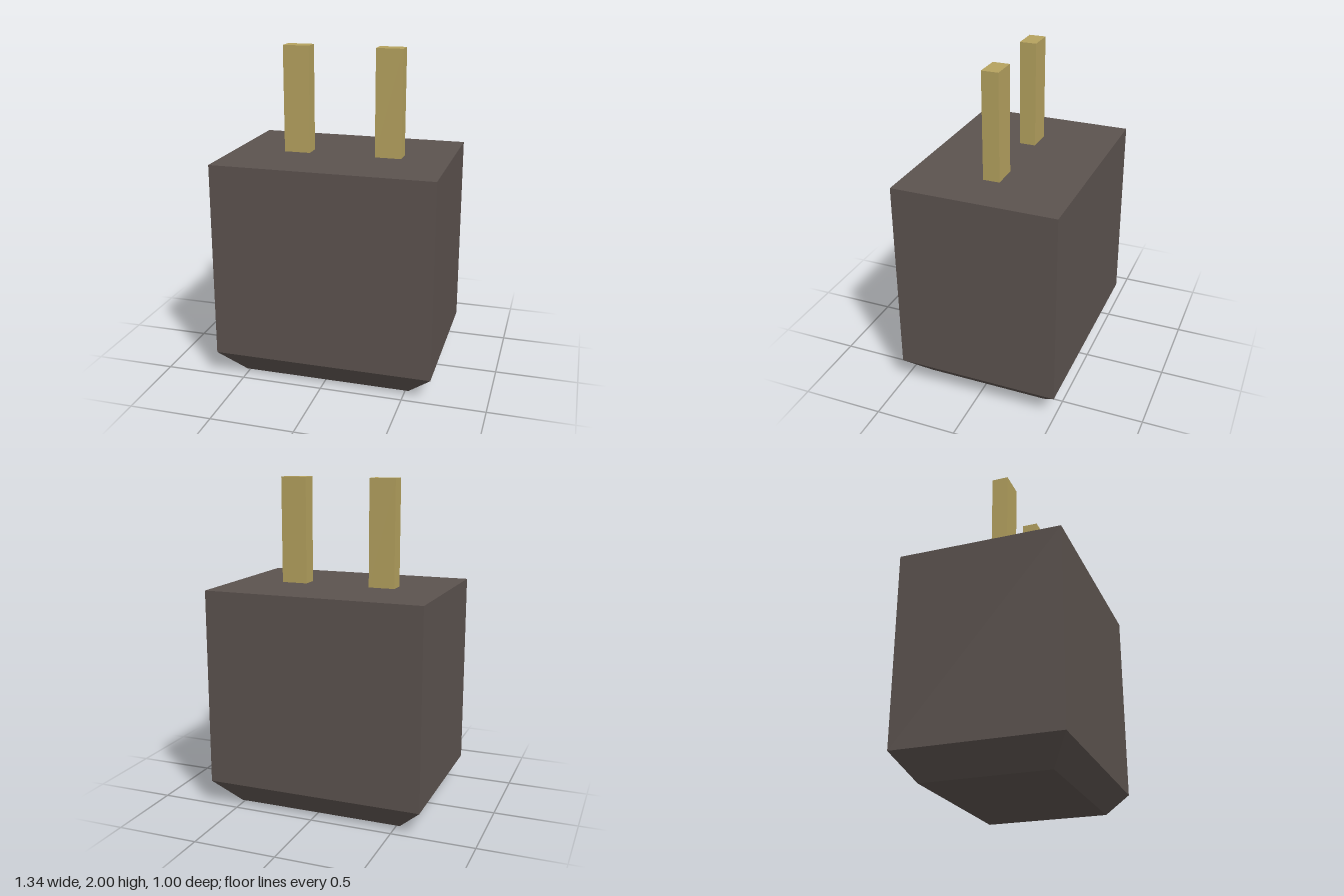
import * as THREE from 'three';

export function createModel() {
  const group = new THREE.Group();
  const housing = new THREE.MeshStandardMaterial({ color: 0x5c534f });
  housing.name = 'darkHousing';
  const brass = new THREE.MeshStandardMaterial({ color: 0xb5a25f });
  brass.name = 'brass';

  // Housing: a box with a middle ring lowered to form the tapered base
  const box = new THREE.BoxGeometry(1.34, 2, 1, 1, 2, 1);
  const pos = box.attributes.position;
  for (let i = 0; i < pos.count; i++) {
    const level = pos.getY(i);
    if (level < -0.5) {
      pos.setXYZ(i, Math.sign(pos.getX(i)) * 0.52, 0, Math.sign(pos.getZ(i)) * 0.385);
    } else {
      pos.setY(i, level > 0.5 ? 1.35 : 0.15);
    }
  }
  const bodyGeometry = box.toNonIndexed();
  bodyGeometry.computeVertexNormals(); // crisp facets
  const body = new THREE.Mesh(bodyGeometry, housing);
  body.name = 'plugHousing';
  group.add(body);

  // Two flat contact prongs
  for (const [name, x] of [['rightProng', -0.275], ['leftProng', 0.296]]) {
    const prong = new THREE.Mesh(new THREE.BoxGeometry(0.162, 0.65, 0.102), brass);
    prong.name = name;
    prong.position.set(x, 1.675, 0.007);
    group.add(prong);
  }
  return group;
}
